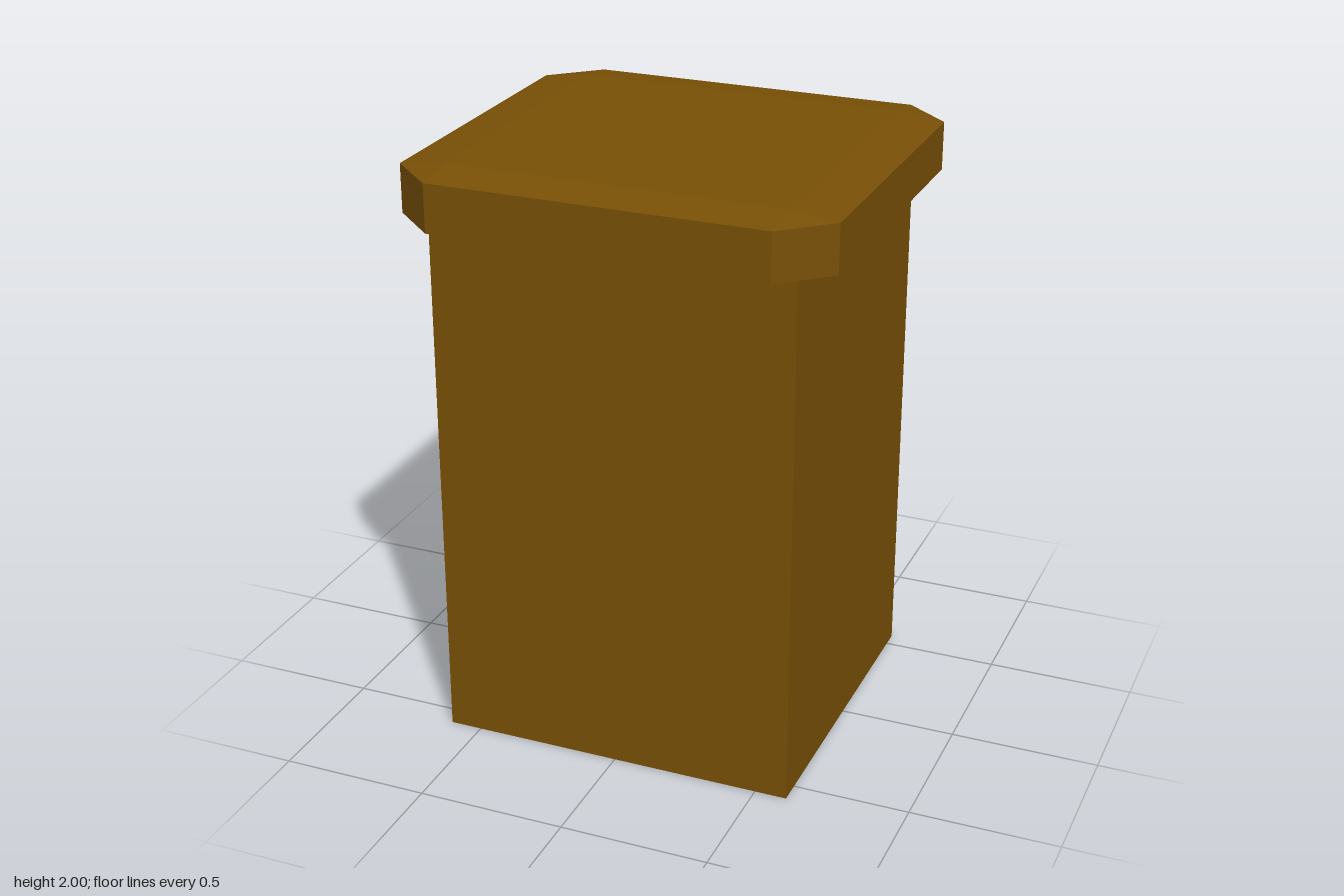
import * as THREE from 'three';
import { ConvexGeometry } from 'three/addons/geometries/ConvexGeometry.js';

const wood = new THREE.MeshStandardMaterial({ color: 0x785006, flatShading: true });
const knobWood = new THREE.MeshStandardMaterial({ color: 0xb87339 });

const BACK = -0.558, FRONT = 0.577, HALF = 0.608, HEIGHT = 1.81;
const RECESS = 0.094;
// sunken panels: half width, bottom, top, and inward slope of the walls in x and y
const PANELS = [
  { w: 0.526, y0: 0.11, y1: 1.1, sx: 0.035, sy: 0.053 },
  { w: 0.547, y0: 1.267, y1: 1.73, sx: 0.038, sy: 0.064 },
];

function part(name, geometry, material) {
  const mesh = new THREE.Mesh(geometry, material);
  mesh.name = name;
  return mesh;
}

function rectangle(path, w, y0, y1) {
  path.moveTo(-w, y0);
  path.lineTo(w, y0);
  path.lineTo(w, y1);
  path.lineTo(-w, y1);
  path.closePath();
  return path;
}

// Panel frame whose openings narrow towards the inside
function frameGeometry() {
  const shape = rectangle(new THREE.Shape(), HALF, 0, HEIGHT);
  for (const p of PANELS) shape.holes.push(rectangle(new THREE.Path(), p.w, p.y0, p.y1));
  const geometry = new THREE.ExtrudeGeometry(shape, { depth: RECESS, bevelEnabled: false });
  const pos = geometry.attributes.position;
  for (let i = 0; i < pos.count; i++) {
    const x = pos.getX(i), y = pos.getY(i);
    if (pos.getZ(i) < RECESS / 2 || Math.abs(x) > HALF - 0.01) continue;
    const p = PANELS.find((q) => y > q.y0 - 0.01 && y < q.y1 + 0.01);
    pos.setX(i, x - Math.sign(x) * p.sx);
    pos.setY(i, y < (p.y0 + p.y1) / 2 ? y + p.sy : y - p.sy);
  }
  geometry.translate(0, 0, BACK);
  geometry.computeVertexNormals();
  return geometry;
}

// Slab bevelled on every edge: hull of three overlapping boxes
function topGeometry() {
  const points = [];
  const outer = [0.72, 0.101, 0.672], inner = [0.563, 0.081, 0.528];
  // each corner group reaches the outer size along one axis only
  for (let axis = 0; axis < 3; axis++) {
    const [x, y, z] = outer.map((v, i) => (i === axis ? v : inner[i]));
    for (const sx of [-1, 1]) for (const sy of [-1, 1]) for (const sz of [-1, 1]) {
      points.push(new THREE.Vector3(sx * x, 1.899 + sy * y, 0.009 + sz * z));
    }
  }
  return new ConvexGeometry(points);
}

export function createModel() {
  const model = new THREE.Group();
  model.name = 'cabinet';

  // Body
  const depth = FRONT - BACK - RECESS;
  const carcass = part('carcass', new THREE.BoxGeometry(HALF * 2, HEIGHT, depth), wood);
  carcass.position.set(0, HEIGHT / 2, FRONT - depth / 2);
  model.add(carcass, part('panelFrame', frameGeometry(), wood), part('topSlab', topGeometry(), wood));

  // Drawer knob: flattened base and round ball
  const knob = new THREE.Group();
  knob.name = 'drawerKnob';
  const base = part('knobBase', new THREE.SphereGeometry(0.105, 32, 20), knobWood);
  base.scale.z = 0.4;
  base.position.set(0, -0.01, -0.495);
  const ball = part('knobBall', new THREE.SphereGeometry(0.076, 32, 20), knobWood);
  ball.position.z = -0.604;
  knob.add(base, ball);
  knob.position.set(0.003, 1.562, 0);
  model.add(knob);

  return model;
}
